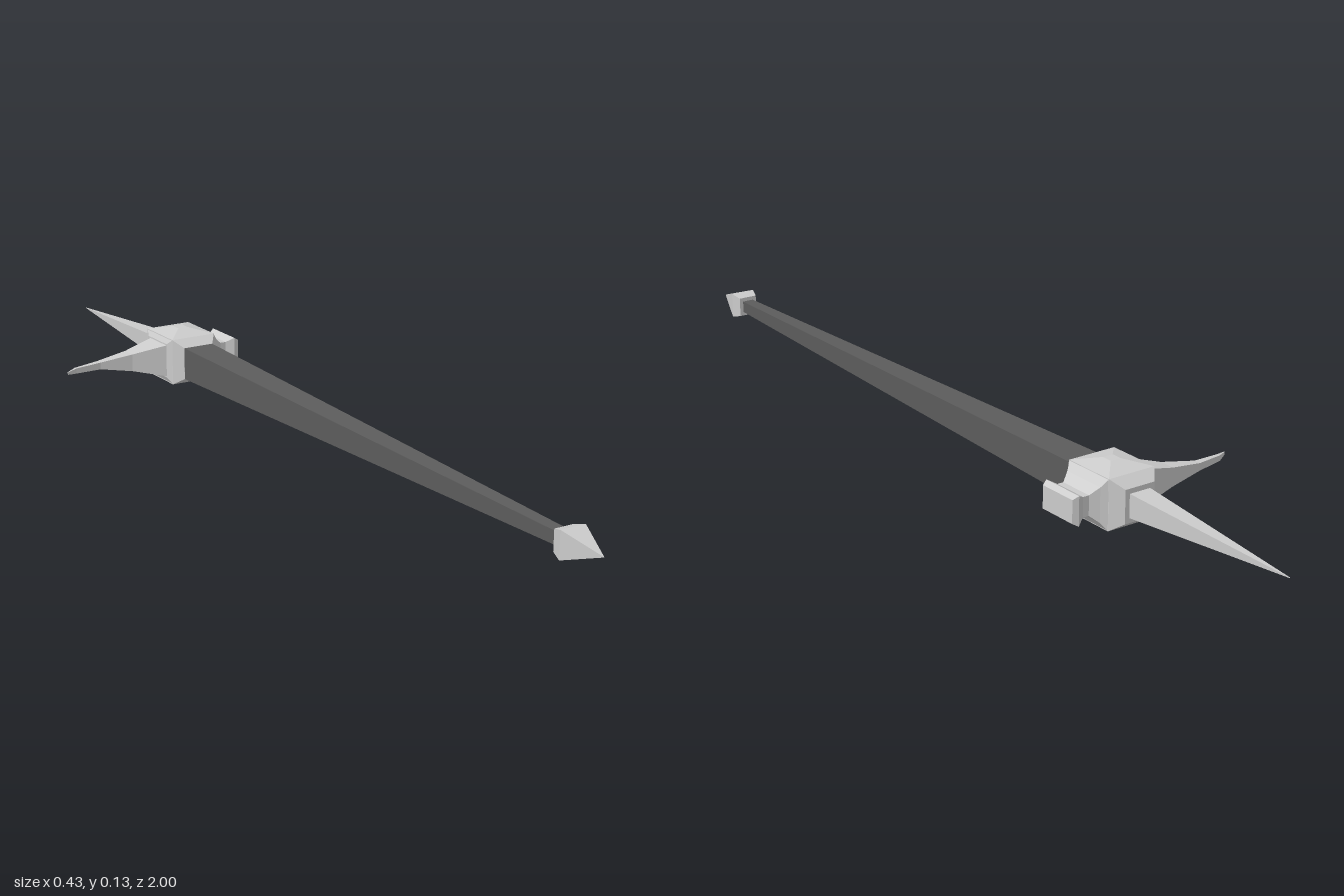
import * as THREE from 'three';

const steel = new THREE.MeshStandardMaterial({ color: 0xcccccc, flatShading: true });
const dark = new THREE.MeshStandardMaterial({ color: 0x5c5c5c, flatShading: true });

// Closed loft through rectangles. Each section is [along, u, v, halfU, halfV];
// place(along, u, v) maps it to x, y, z and must be right-handed.
function loft(name, sections, place, material = steel) {
  const pos = [], idx = [];
  for (const [a, u, v, hu, hv] of sections) {
    for (const [su, sv] of [[-1, -1], [1, -1], [1, 1], [-1, 1]]) {
      pos.push(...place(a, u + su * hu, v + sv * hv));
    }
  }
  const last = (sections.length - 1) * 4;
  for (let s = 0; s < last; s += 4) {
    for (let k = 0; k < 4; k++) {
      const n = (k + 1) % 4;
      idx.push(s + k, s + n, s + 4 + n, s + k, s + 4 + n, s + 4 + k);
    }
  }
  idx.push(0, 2, 1, 0, 3, 2, last, last + 1, last + 2, last, last + 2, last + 3);
  const indexed = new THREE.BufferGeometry();
  indexed.setAttribute('position', new THREE.Float32BufferAttribute(pos, 3));
  indexed.setIndex(idx);
  const geo = indexed.toNonIndexed();
  geo.computeVertexNormals();
  const mesh = new THREE.Mesh(geo, material);
  mesh.name = name;
  return mesh;
}

const alongX = (a, u, v) => [a, u, v]; // u = y, v = z
const alongY = (a, u, v) => [v, a, u]; // u = z, v = x
const alongZ = (a, u, v) => [u, v, a]; // u = x, v = y

export function createModel() {
  const group = new THREE.Group();
  const X = 0.084, Y = 0.066, Z = -0.512; // centre of the head

  // Tapered square shaft, leaning very slightly towards the pommel
  group.add(loft('shaft', [
    [-0.44, X, Y, 0.037, 0.037],
    [0.9, 0.076, Y, 0.013, 0.013],
  ], alongZ, dark));

  // Pointed pommel
  group.add(loft('pommel', [
    [0.89, 0.076, Y, 0.022, 0.022],
    [0.915, 0.076, Y, 0.029, 0.029],
    [1, 0.076, Y, 0.0005, 0.0005],
  ], alongZ));

  // Head block bevelled front and back
  group.add(loft('headBlock', [
    [-0.597, X, Y, 0.035, 0.035],
    [-0.572, X, Y, 0.055, 0.053],
    [-0.452, X, Y, 0.055, 0.053],
    [-0.428, X, Y, 0.037, 0.037],
  ], alongZ));

  // Low pyramid caps above and below the head
  group.add(loft('headCaps', [
    [0, Z, X, 0.012, 0.012],
    [0.013, Z, X, 0.06, 0.055],
    [0.119, Z, X, 0.06, 0.055],
    [0.13, Z, X, 0.012, 0.012],
  ], alongY));

  // Curved beak, from tip to root
  group.add(loft('beak', [
    [-0.215, 0.065, -0.501, 0.003, 0.001],
    [-0.19, 0.065, -0.512, 0.006, 0.004],
    [-0.126, Y, -0.521, 0.008, 0.008],
    [-0.05, 0.065, -0.518, 0.02, 0.018],
    [0.023, Y, -0.508, 0.037, 0.038],
  ], alongX));
  group.add(loft('beakSocket', [
    [0.023, Y, Z, 0.04, 0.043],
    [0.03, Y, Z, 0.053, 0.06],
  ], alongX));

  // Hammer face with a waisted neck
  group.add(loft('hammer', [
    [0.138, Y, Z, 0.053, 0.06],
    [0.151, Y, Z, 0.036, 0.05],
    [0.169, Y, Z, 0.021, 0.039],
    [0.183, Y, Z, 0.021, 0.039],
    [0.201, Y, Z, 0.031, 0.05],
    [0.213, Y, Z, 0.024, 0.045],
  ], alongX));

  // Long top spike
  group.add(loft('spike', [
    [-1, X, Y, 0.0005, 0.0005],
    [-0.59, X, Y, 0.025, 0.025],
  ], alongZ));

  return group;
}
